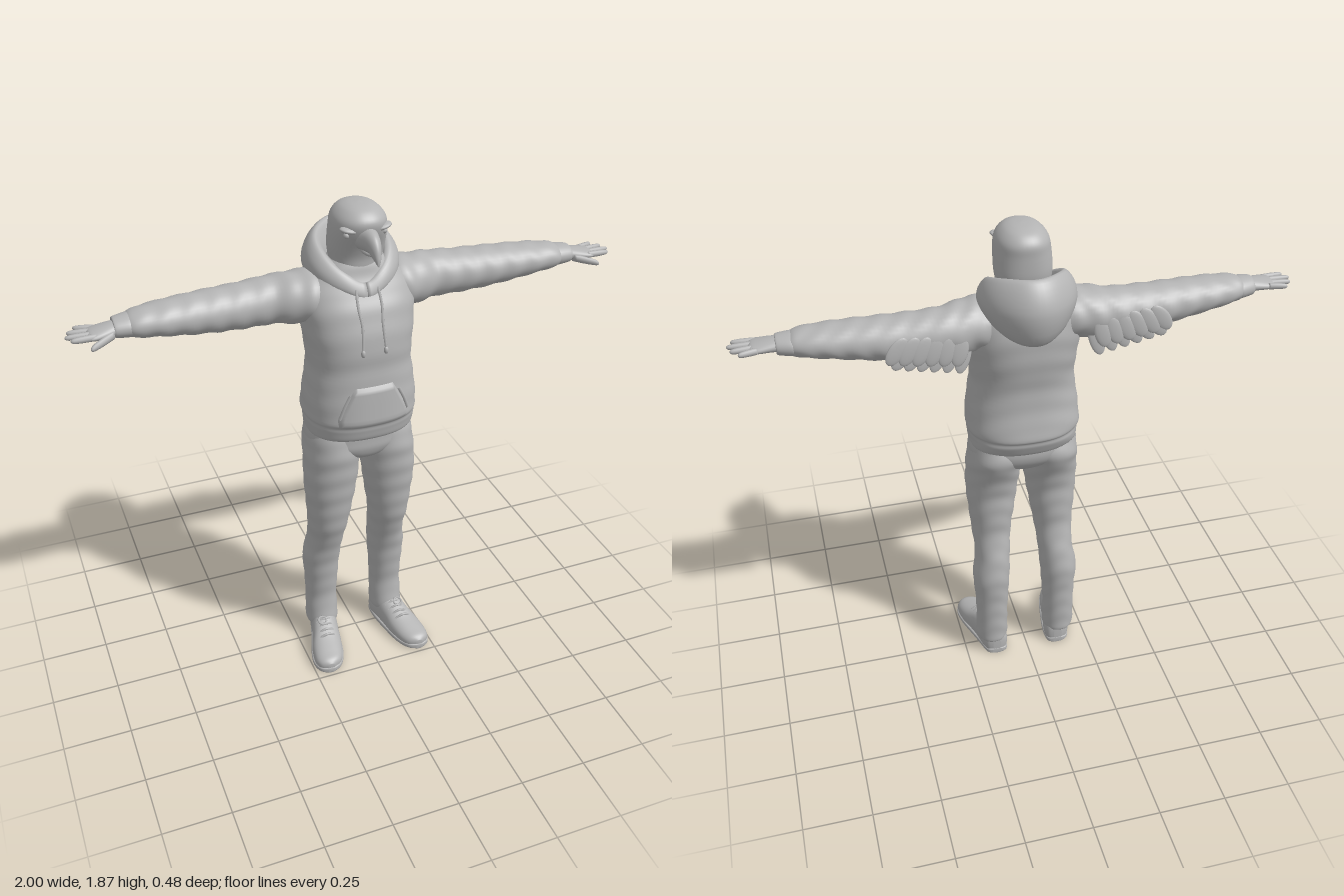
import * as THREE from 'three';

const grey = new THREE.MeshStandardMaterial({ color: 0xb4b4b4 });
grey.name = 'plain grey';
const doubleGrey = grey;

const spline = (a, b, c, d, t) =>
  b + 0.5 * t * (c - a + t * (2 * a - 5 * b + 4 * c - d + t * (3 * (b - c) + d - a)));

// Smooth skin over a closed grid of rings, with both ends capped
function skin(rings, flip) {
  const n = rings[0].length, pos = [], idx = [];
  const tri = (a, b, c) => (flip ? idx.push(a, c, b) : idx.push(a, b, c));
  rings.forEach(r => r.forEach(p => pos.push(...p)));
  for (let i = 0; i < rings.length - 1; i++) for (let j = 0; j < n; j++) {
    const a = i * n + j, b = i * n + (j + 1) % n;
    tri(a, b, b + n); tri(a, b + n, a + n);
  }
  [0, rings.length - 1].forEach(i => {
    const mid = [0, 1, 2].map(k => rings[i].reduce((s, p) => s + p[k], 0) / n);
    const m = pos.length / 3;
    pos.push(...mid);
    for (let j = 0; j < n; j++) {
      const a = i * n + j, b = i * n + (j + 1) % n;
      if (i) tri(m, a, b); else tri(m, b, a);
    }
  });
  const g = new THREE.BufferGeometry();
  g.setAttribute('position', new THREE.Float32BufferAttribute(pos, 3));
  g.setIndex(idx);
  g.computeVertexNormals();
  return g;
}

// Rows are [along, centre u, centre v, radius u, radius v]; n is roundness, fold is cloth wrinkling
function loft(rows, axis, { n = 2, seg = 32, steps = 5, fold = 0, floor = false } = {}) {
  const rings = [];
  const at = i => rows[Math.max(0, Math.min(rows.length - 1, i))];
  for (let s = 0; s <= (rows.length - 1) * steps; s++) {
    const i = Math.floor(s / steps), f = s / steps - i;
    const [t, u, v, ru, rv] = rows[0].map((_, k) => spline(at(i - 1)[k], at(i)[k], at(i + 1)[k], at(i + 2)[k], f));
    const ring = [];
    for (let j = 0; j < seg; j++) {
      const a = j / seg * Math.PI * 2, c = Math.cos(a), q = Math.sin(a);
      const k = 1 + fold * Math.sin(t * 75 + 2.5 * Math.sin(a) + 2 * Math.cos(2 * a));
      const pu = u + k * ru * Math.sign(c) * Math.abs(c) ** (2 / n);
      let pv = v + k * rv * Math.sign(q) * Math.abs(q) ** (2 / n);
      if (floor) pv = Math.max(0, pv);
      ring.push(axis === 'y' ? [pu, t, pv] : axis === 'x' ? [t, pu, pv] : [pu, pv, t]);
    }
    rings.push(ring);
  }
  return skin(rings, axis === 'y');
}

function mirrored(g) {
  const m = g.clone().scale(-1, 1, 1), ix = m.index.array;
  for (let i = 0; i < ix.length; i += 3) [ix[i], ix[i + 1]] = [ix[i + 1], ix[i]];
  return m;
}

const ball = (x, y, z, sx, sy, sz, rotX = 0, rotZ = 0) =>
  new THREE.SphereGeometry(1, 16, 12).scale(sx, sy, sz).rotateX(rotX).rotateZ(rotZ).translate(x, y, z);

const cord = (pts, r) =>
  new THREE.TubeGeometry(new THREE.CatmullRomCurve3(pts.map(p => new THREE.Vector3(...p))), 16, r, 6);

const torso = [
  [1.015, 0, 0.02, 0.185, 0.135], [1.03, 0, 0.022, 0.2, 0.155], [1.065, 0, 0.02, 0.203, 0.168],
  [1.085, 0, 0.02, 0.203, 0.17], [1.11, 0, 0.02, 0.208, 0.178], [1.2, 0, 0.025, 0.2, 0.165],
  [1.3, 0, 0.023, 0.187, 0.157], [1.4, 0, 0.015, 0.195, 0.163], [1.5, 0, 0, 0.205, 0.15],
  [1.56, 0, -0.01, 0.2, 0.128], [1.61, 0, -0.018, 0.165, 0.105], [1.65, 0, -0.01, 0.115, 0.085],
  [1.68, 0, -0.01, 0.08, 0.07]];

// Depth of the chest surface, for parts lying on it
function chestZ(x, y) {
  const i = Math.max(0, torso.findIndex(r => r[0] > y) - 1), a = torso[i], b = torso[i + 1];
  const f = (y - a[0]) / (b[0] - a[0]), [, , z, rx, rz] = a.map((v, k) => v + (b[k] - v) * f);
  return z + rz * (1 - Math.abs(x / rx) ** 2.4) ** (1 / 2.4);
}

// Collar roll whose section changes from front to side to back
function hoodGeometry() {
  const front = [[0.08, 1.57], [0.095, 1.615], [0.115, 1.62], [0.132, 1.6], [0.138, 1.575], [0.12, 1.555], [0.085, 1.555]];
  const side = [[0.085, 1.62], [0.108, 1.69], [0.13, 1.7], [0.16, 1.665], [0.165, 1.615], [0.135, 1.58], [0.09, 1.58]];
  const back = [[0.085, 1.63], [0.11, 1.7], [0.14, 1.75], [0.175, 1.72], [0.205, 1.635], [0.165, 1.515], [0.09, 1.53]];
  const rings = [];
  for (let i = 0; i <= 64; i++) {
    const a = i / 64 * Math.PI * 2, c = Math.cos(a), s = Math.sin(a);
    const tip = 0.015 * Math.max(0, -c) ** 10, dip = 0.02 * Math.max(0, c) ** 12;
    const pts = front.map((f, k) => {
      const [r, y] = [0, 1].map(m => f[m] * c * (c + 1) / 2 + side[k][m] * (1 - c * c) + back[k][m] * c * (c - 1) / 2);
      return new THREE.Vector3((r + tip) * s, y - dip, -0.02 + (r + tip) * c);
    });
    const ring = new THREE.CatmullRomCurve3(pts, true).getPoints(28).slice(0, 28);
    rings.push(ring.map(p => p.toArray()));
  }
  return skin(rings, false);
}

// Front pouch, its border tucked into the chest
function pocketGeometry() {
  const g = new THREE.PlaneGeometry(2, 1, 24, 12), p = g.attributes.position;
  for (let i = 0; i < p.count; i++) {
    const u = p.getX(i), v = p.getY(i) + 0.5, y = 1.085 + 0.165 * v;
    const x = u * (v < 0.3 ? 0.135 : 0.135 - 0.065 * (v - 0.3) / 0.7);
    const edge = Math.abs(u) > 0.99 || v < 0.01 || v > 0.99;
    p.setXYZ(i, x, y, chestZ(x, y) + (edge ? -0.006 : 0.01));
  }
  g.computeVertexNormals();
  return g;
}

export function createModel() {
  const model = new THREE.Group();
  const add = (name, g) => {
    const m = new THREE.Mesh(g, grey);
    m.name = name;
    model.add(m);
  };
  const pair = (name, g) => { add('left ' + name, g); add('right ' + name, mirrored(g)); };

  // Hooded top
  add('hoodie body', loft(torso, 'y', { n: 2.4, seg: 56, steps: 6, fold: 0.006 }));
  add('hood', hoodGeometry());
  add('front pocket', pocketGeometry());
  const onChest = (x, y, d) => [x, y, chestZ(x, y) + d];
  pair('pocket slit', cord([onChest(0.09, 1.225, 0.01), onChest(0.112, 1.18, 0.011), onChest(0.128, 1.135, 0.01)], 0.006));
  pair('drawstring', cord([1.585, 1.53, 1.48, 1.43, 1.385].map((y, i) => onChest(0.04 + 0.003 * Math.sin(i * 2), y, 0.006)), 0.005));
  pair('drawstring tip', ball(...onChest(0.042, 1.38, 0.006), 0.008, 0.014, 0.008));

  // Sleeves and cuffs
  pair('sleeve', loft([
    [0.08, 1.53, -0.02, 0.075, 0.09], [0.16, 1.537, -0.02, 0.088, 0.102], [0.22, 1.532, -0.028, 0.09, 0.1],
    [0.3, 1.53, -0.043, 0.084, 0.087], [0.4, 1.528, -0.038, 0.079, 0.085], [0.5, 1.53, -0.033, 0.074, 0.084],
    [0.6, 1.535, -0.025, 0.066, 0.08], [0.7, 1.54, -0.018, 0.055, 0.075], [0.77, 1.541, -0.013, 0.046, 0.062],
    [0.795, 1.54, -0.012, 0.036, 0.052]], 'x', { seg: 36, steps: 7, fold: 0.025 }));
  pair('cuff', loft([[0.78, 1.54, -0.012, 0.034, 0.05], [0.79, 1.54, -0.012, 0.039, 0.055],
    [0.835, 1.54, -0.008, 0.034, 0.046], [0.842, 1.54, -0.008, 0.028, 0.04]], 'x'));

  // Hands
  pair('palm', loft([[0.82, 1.54, -0.006, 0.025, 0.034], [0.86, 1.539, 0, 0.022, 0.042],
    [0.9, 1.536, 0.004, 0.018, 0.047], [0.922, 1.535, 0.005, 0.013, 0.044], [0.93, 1.535, 0.005, 0.004, 0.03]], 'x'));
  const finger = (x0, y0, z0, x1, y1, z1, r) => loft([0, 0.35, 0.7, 0.93, 1].map((f, i) => [
    x0 + (x1 - x0) * f, y0 + (y1 - y0) * f, z0 + (z1 - z0) * f, r * [1, 1, 0.9, 0.65, 0.1][i], r * [1, 1, 0.9, 0.65, 0.1][i]]),
  'x', { seg: 10, steps: 3 });
  [[-0.032, 0.965, -0.05], [-0.009, 0.99, -0.02], [0.015, 1, 0.012], [0.037, 0.985, 0.042]].forEach(([z, tip, zt], i) =>
    pair('finger ' + (i + 1), finger(0.9, 1.537, z, tip, 1.538, zt, 0.0115)));
  pair('thumb', finger(0.845, 1.532, 0.03, 0.93, 1.515, 0.077, 0.014));

  // Feathers hanging behind the upper arm, in two overlapping rows
  for (let i = 0; i < 6; i++) {
    const x = 0.235 + i * 0.042;
    pair('long feather ' + (i + 1), ball(x, 1.462 + i * 0.007, -0.105 - 0.004 * i, 0.028, 0.066 - i * 0.003, 0.007, 0.15, 0.25 + i * 0.08));
    pair('short feather ' + (i + 1), ball(x + 0.015, 1.492 + i * 0.006, -0.128, 0.03, 0.055, 0.008, 0.1, 0.25 + i * 0.08));
  }

  // Bird head
  add('head', loft([
    [1.57, 0, -0.005, 0.075, 0.07], [1.64, 0, -0.005, 0.088, 0.078], [1.68, 0, -0.003, 0.096, 0.08],
    [1.72, 0, 0.002, 0.1, 0.09], [1.78, 0, 0.016, 0.097, 0.105], [1.82, 0, 0.02, 0.089, 0.108],
    [1.848, 0, 0.02, 0.066, 0.085], [1.861, 0, 0.022, 0.038, 0.05], [1.865, 0, 0.022, 0.004, 0.005]],
  'y', { n: 2.2, seg: 40 }));
  add('beak', loft([
    [0.07, 0, 1.762, 0.052, 0.046], [0.12, 0, 1.764, 0.036, 0.042], [0.16, 0, 1.765, 0.026, 0.036],
    [0.185, 0, 1.753, 0.019, 0.034], [0.203, 0, 1.734, 0.011, 0.026], [0.211, 0, 1.717, 0.004, 0.012]],
  'z', { seg: 24 }));
  add('lower beak', ball(0, 1.728, 0.11, 0.026, 0.014, 0.058));
  pair('brow', ball(0.058, 1.796, 0.093, 0.034, 0.011, 0.026, 0, 0.2));
  pair('eye', ball(0.066, 1.778, 0.09, 0.012, 0.011, 0.012));

  // Trousers
  add('hips', loft([[0.885, 0, 0.03, 0.03, 0.04], [0.92, 0, 0.028, 0.1, 0.1], [0.96, 0, 0.02, 0.19, 0.128],
    [1, 0, 0.014, 0.203, 0.136], [1.045, 0, 0.015, 0.198, 0.135]], 'y', { n: 2.3, seg: 48 }));
  pair('trouser leg', loft([
    [0.065, 0.14, -0.025, 0.052, 0.056], [0.075, 0.14, -0.025, 0.061, 0.066], [0.11, 0.14, -0.025, 0.064, 0.068],
    [0.2, 0.139, -0.033, 0.062, 0.063], [0.3, 0.138, -0.03, 0.066, 0.069], [0.4, 0.137, -0.027, 0.072, 0.078],
    [0.5, 0.127, -0.007, 0.068, 0.083], [0.6, 0.124, 0.022, 0.076, 0.087], [0.7, 0.12, 0.03, 0.088, 0.096],
    [0.8, 0.116, 0.036, 0.099, 0.103], [0.9, 0.109, 0.028, 0.103, 0.12], [0.97, 0.105, 0.014, 0.101, 0.134],
    [1.03, 0.098, 0.012, 0.095, 0.12]], 'y', { n: 2.1, seg: 36, steps: 7, fold: 0.014 }));

  // Shoes
  pair('shoe', loft([
    [-0.083, 0.13, 0.04, 0.015, 0.03], [-0.072, 0.13, 0.045, 0.04, 0.055], [-0.04, 0.133, 0.048, 0.052, 0.07],
    [0.02, 0.145, 0.05, 0.054, 0.075], [0.07, 0.157, 0.04, 0.057, 0.065], [0.12, 0.17, 0.032, 0.062, 0.05],
    [0.18, 0.183, 0.026, 0.058, 0.038], [0.215, 0.188, 0.026, 0.042, 0.028], [0.232, 0.19, 0.026, 0.012, 0.014]],
  'z', { n: 2.3, floor: true }));
  pair('sole', loft([
    [-0.085, 0.13, 0.011, 0.018, 0.011], [-0.07, 0.13, 0.011, 0.043, 0.012], [0, 0.14, 0.011, 0.056, 0.012],
    [0.12, 0.17, 0.011, 0.066, 0.012], [0.18, 0.183, 0.011, 0.062, 0.012], [0.22, 0.189, 0.011, 0.042, 0.012],
    [0.236, 0.19, 0.011, 0.012, 0.01]], 'z', { n: 4, floor: true }));
  for (let i = 0; i < 4; i++) {
    const z = 0.045 + i * 0.022, x = 0.151 + i * 0.005, y = 0.116 - i * 0.0085;
    pair('lace ' + (i + 1), cord([[x - 0.036, y - 0.018, z], [x, y, z + 0.003], [x + 0.036, y - 0.018, z]], 0.005));
  }
  pair('lace bow', new THREE.TorusGeometry(0.016, 0.004, 6, 16).rotateX(-1.1).translate(0.165, 0.115, 0.055));

  return model;
}
